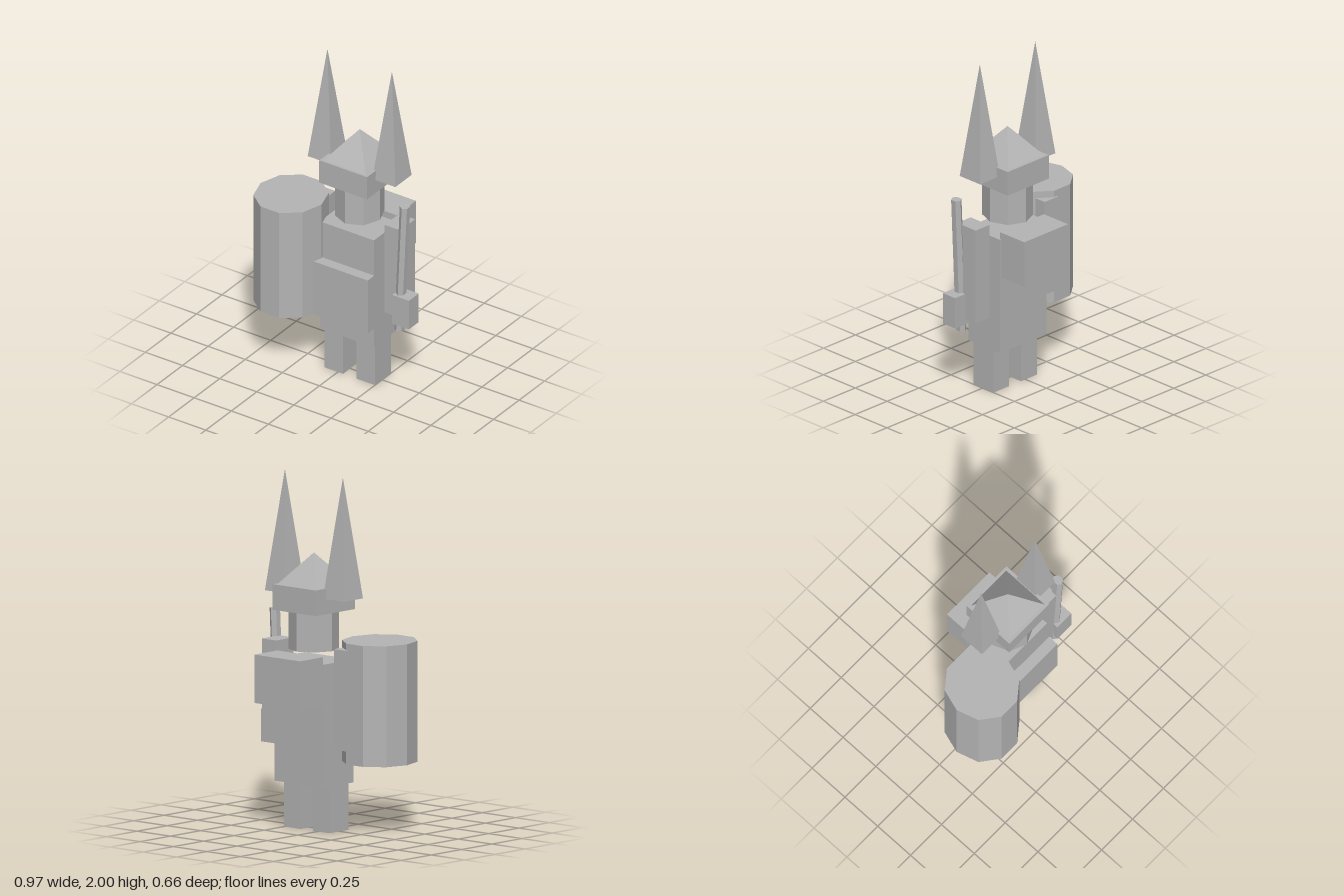
import * as THREE from 'three';

export function createModel() {
  const model = new THREE.Group();
  model.name = 'hornedWarrior';
  const stone = new THREE.MeshStandardMaterial({ color: 0xb4b4b4, flatShading: true });
  stone.name = 'plain grey';

  const CX = 0.081; // the body's own centre line
  const CZ = -0.026;

  const add = (name, geometry, x, y, z) => {
    const mesh = new THREE.Mesh(geometry, stone);
    mesh.name = name;
    mesh.position.set(x, y, z);
    model.add(mesh);
    return mesh;
  };

  // Box given by its limits on each axis
  const box = (name, x0, x1, y0, y1, z0, z1) =>
    add(name, new THREE.BoxGeometry(x1 - x0, y1 - y0, z1 - z0),
      (x0 + x1) / 2, (y0 + y1) / 2, (z0 + z1) / 2);

  // Upright prism with separate radii across and in depth
  const prism = (name, sides, rx, rz, x, y0, y1, z, turn = 0) =>
    add(name, new THREE.CylinderGeometry(1, 1, y1 - y0, sides).rotateY(turn).scale(rx, 1, rz),
      x, (y0 + y1) / 2, z);

  // Square pyramid with axis-aligned base
  const pyramid = (name, hx, hz, x, y0, y1, z) =>
    add(name, new THREE.ConeGeometry(Math.SQRT2, y1 - y0, 4).rotateY(Math.PI / 4).scale(hx, 1, hz),
      x, (y0 + y1) / 2, z);

  // Body
  box('torso', CX - 0.182, CX + 0.182, 0.265, 0.957, -0.15, 0.1);
  box('frontPlate', CX - 0.19, CX + 0.19, 0.392, 0.735, 0.107, 0.171);
  box('backpack', CX - 0.171, CX + 0.171, 0.725, 0.997, -0.329, -0.14);

  // Paired legs, arms and horns
  for (const [side, s] of [['left', 1], ['right', -1]]) {
    const leg = CX + s * 0.108;
    box(side + 'Leg', leg - 0.062, leg + 0.062, 0, 0.265, -0.085, 0.07);
    const arm = CX + s * 0.27;
    box(side + 'Arm', arm - 0.053, arm + 0.053, 0.477, 1.043, -0.1, 0.046);
    pyramid(side + 'Horn', 0.078, 0.08, CX + s * 0.217, 1.318, 2, CZ);
  }

  // Head and helmet
  prism('head', 8, 0.137, 0.144, CX, 1.013, 1.233, CZ);
  box('helmetBrim', CX - 0.161, CX + 0.161, 1.233, 1.377, -0.189, 0.136);
  pyramid('helmetTop', 0.142, 0.146, CX, 1.377, 1.554, CZ);

  // Drum-shaped shield on the right side
  prism('shield', 10, 0.205, 0.219, -0.282, 0.402, 1.082, 0.118, Math.PI / 2);

  // Left hand with its leaning staff
  box('leftHand', 0.371, 0.484, 0.445, 0.63, -0.018, 0.078);
  const staff = prism('staff', 6, 0.028, 0.033, 0.407, 0.393, 1.2, 0.031);
  staff.rotation.z = -0.046;

  return model;
}
